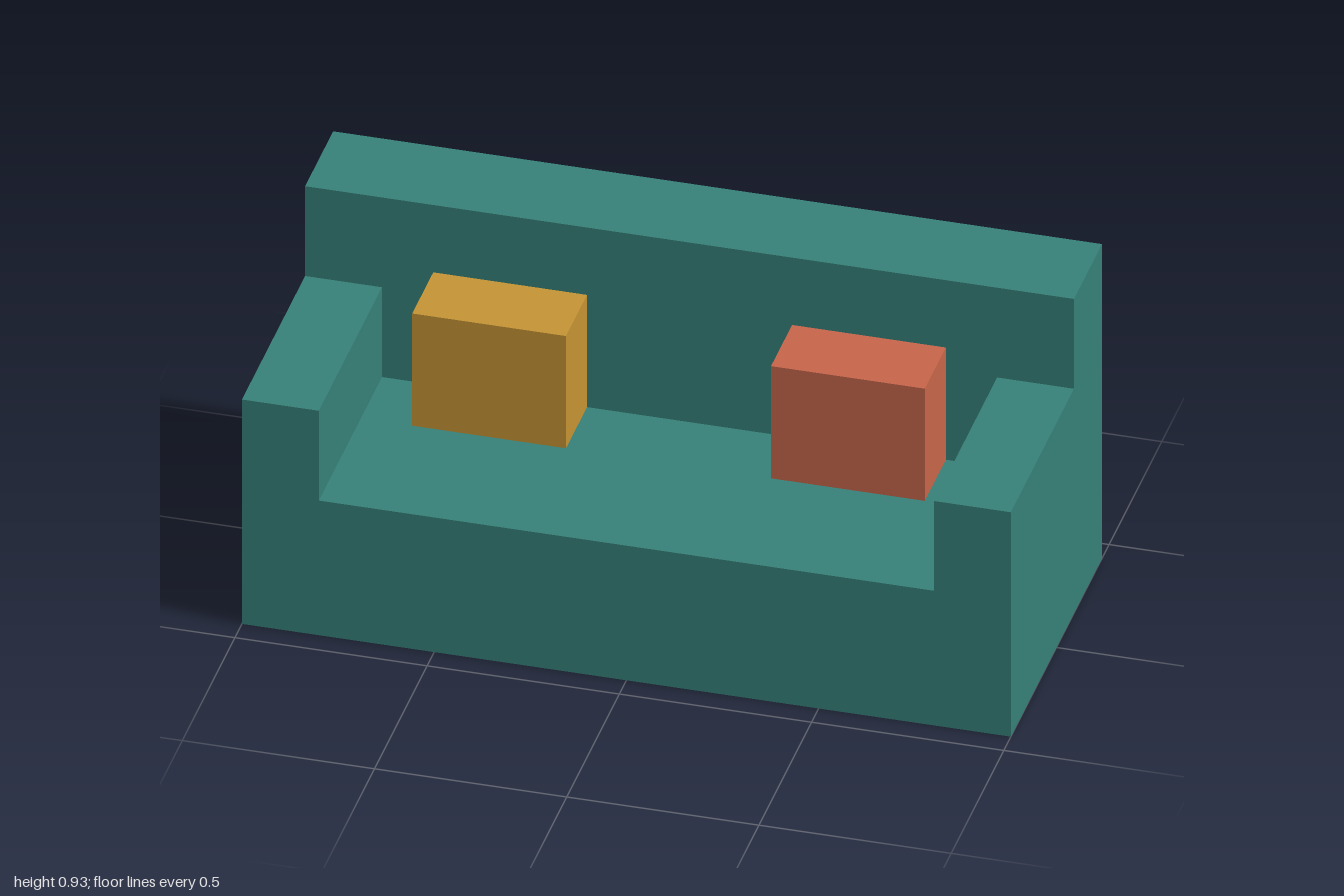
import * as THREE from 'three';

const material = (name, color) => {
  const m = new THREE.MeshStandardMaterial({ color });
  m.name = name;
  return m;
};

export function createModel() {
  const sofa = new THREE.Group();
  sofa.name = 'sofa';

  const teal = material('teal upholstery', 0x368078);
  const mustard = material('mustard fabric', 0xc49334);
  const coral = material('coral fabric', 0xc6654a);

  // Sizes on a grid of 15 units per model unit
  const u = 1 / 15;
  const addBox = (name, mat, [x0, x1], [y0, y1], [z0, z1]) => {
    const geometry = new THREE.BoxGeometry((x1 - x0) * u, (y1 - y0) * u, (z1 - z0) * u);
    const mesh = new THREE.Mesh(geometry, mat);
    mesh.name = name;
    mesh.position.set((x0 + x1) / 2 * u, (y0 + y1) / 2 * u, (z0 + z1) / 2 * u);
    sofa.add(mesh);
  };

  // Seat block and backrest
  addBox('seat', teal, [-15, 15], [0, 6], [-6.5, 6.5]);
  addBox('backrest', teal, [-15, 15], [6, 14], [-6.5, -2.5]);

  // Armrests, flush with the seat's outer faces
  addBox('leftArmrest', teal, [12, 15], [6, 10], [-2.5, 6.5]);
  addBox('rightArmrest', teal, [-15, -12], [6, 10], [-2.5, 6.5]);

  // Cushions leaning on the backrest
  addBox('leftCushion', coral, [4, 10], [6, 11], [-2.5, 0.5]);
  addBox('rightCushion', mustard, [-10, -4], [6, 11], [-2.5, 0.5]);

  return sofa;
}
